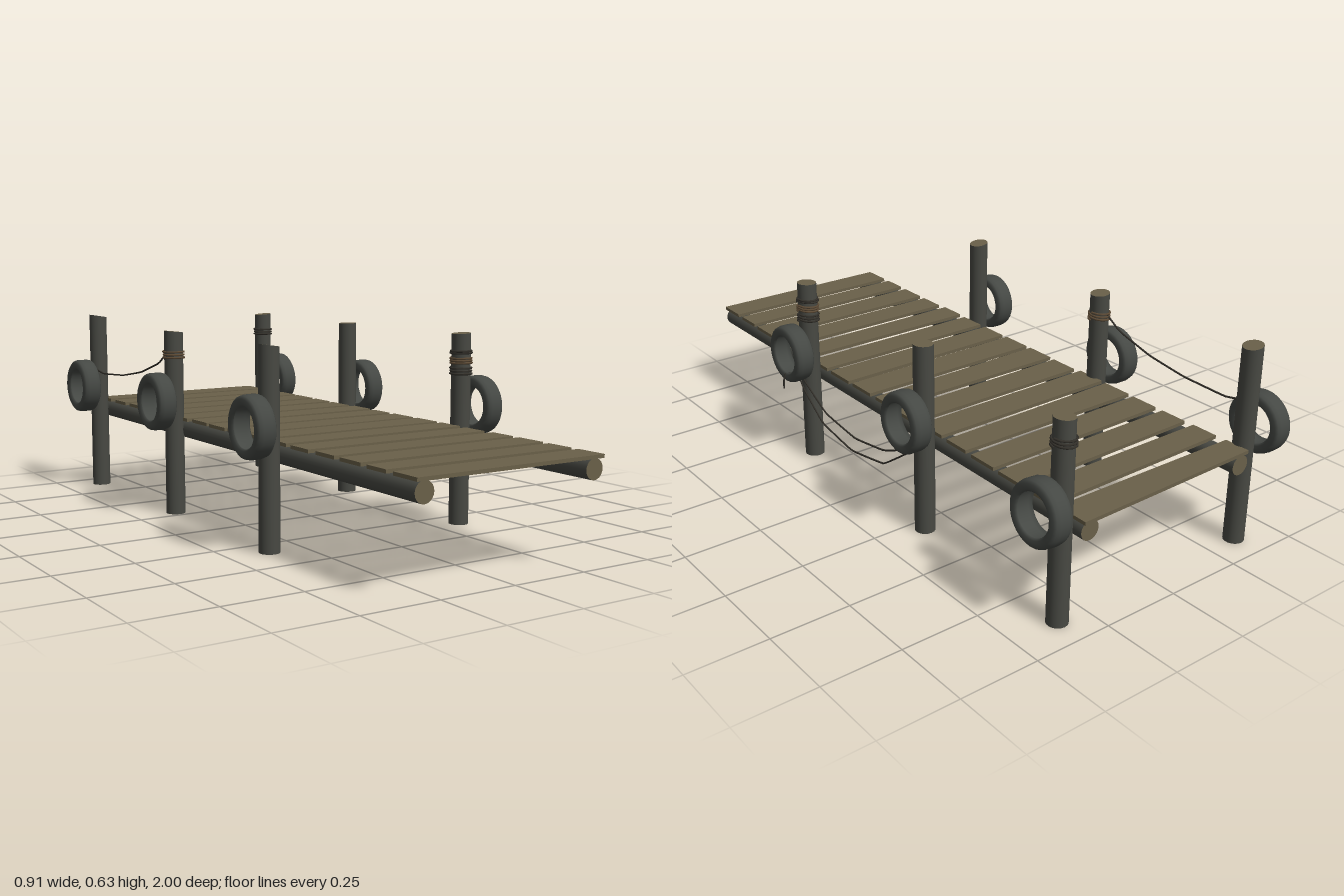
import * as THREE from 'three';

const mat = (name, color) => new THREE.MeshStandardMaterial({ name, color });

export function createModel() {
  const bark = mat('weathered bark', 0x484943);
  const wood = mat('cut wood', 0x6a6049);
  const rubber = mat('tyre rubber', 0x454844);
  const ropeDark = mat('dark rope', 0x33302a);
  const ropeBrown = mat('brown rope', 0x5c4a35);

  const dock = new THREE.Group();
  dock.name = 'dock';
  const add = (name, geometry, material, parent = dock) => {
    const mesh = new THREE.Mesh(geometry, material);
    mesh.name = name;
    parent.add(mesh);
    return mesh;
  };
  let seed = 7;
  const jitter = (amount) => {
    seed = (seed * 16807) % 2147483647;
    return (seed / 2147483647 - 0.5) * 2 * amount;
  };

  // Two long logs carry the deck
  for (const x of [-0.303, 0.283]) {
    const log = add('deckBeam', new THREE.CylinderGeometry(0.031, 0.031, 1.94, 20), [bark, wood, wood]);
    log.rotation.x = Math.PI / 2;
    log.position.set(x, 0.283, 0.025);
  }

  // Sixteen slightly irregular planks
  for (let i = 0; i < 16; i++) {
    const g = new THREE.BoxGeometry(0.645, 0.011, 0.1);
    const p = g.attributes.position;
    const taper = [jitter(0.006) - 0.002, jitter(0.006) - 0.002];
    const shift = i === 15 ? 0 : jitter(0.004);
    for (let v = 0; v < p.count; v++) {
      const side = p.getX(v) < 0 ? 0 : 1;
      p.setZ(v, p.getZ(v) + Math.sign(p.getZ(v)) * taper[side] * (i === 15 ? 0 : 1));
      p.setX(v, p.getX(v) + shift);
    }
    g.computeVertexNormals();
    add('plank', g, wood).position.set(-0.008, 0.318, -0.905 + i * 0.1237);
  }

  // Tyre: rounded hollow ring, axis along x
  const tyreProfile = [
    [0.062, -0.026], [0.068, -0.032], [0.084, -0.032], [0.092, -0.026], [0.095, -0.014],
    [0.095, 0.014], [0.092, 0.026], [0.084, 0.032], [0.068, 0.032], [0.062, 0.026],
    [0.069, 0.018], [0.069, -0.018], [0.062, -0.026],
  ].map(([r, y]) => new THREE.Vector2(r, y));
  const tyreGeometry = new THREE.LatheGeometry(tyreProfile, 28);
  tyreGeometry.rotateZ(-Math.PI / 2);

  const postRadius = 0.031;
  const tube = (name, points, radius, material) => add(
    name,
    new THREE.TubeGeometry(
      new THREE.CatmullRomCurve3(points.map((q) => new THREE.Vector3(...q)), false, 'catmullrom', 0.1),
      points.length * 5, radius, 6),
    material);

  // Wound rope around a post
  const coil = (x, z, y0, y1, turns, material) => {
    const points = [];
    for (let i = 0; i <= turns * 12; i++) {
      const a = (i / 12) * Math.PI * 2;
      const r = postRadius + 0.003 + 0.001 * Math.sin(a * 1.7);
      points.push([
        x + r * Math.cos(a),
        y0 + ((y1 - y0) * i) / (turns * 12) + 0.002 * Math.sin(a + 1),
        z + r * Math.sin(a),
      ]);
    }
    tube('ropeCoil', points, 0.0035, material);
  };

  // Posts: x, z, height, top slope, tyre x, tyre y, tyre z, tyre tilt
  const posts = [
    [-0.365, 0.345, 0.607, -0.15, -0.422, 0.375, 0.345, 0.02],
    [0.345, 0.343, 0.614, 0.05, 0.41, 0.382, 0.348, 0],
    [-0.352, -0.292, 0.608, -0.1, -0.415, 0.38, -0.295, 0],
    [0.345, -0.297, 0.612, 0.03, 0.408, 0.382, -0.295, 0.02],
    [-0.358, -0.905, 0.63, -0.16, -0.42, 0.375, -0.905, 0],
    [0.347, -0.902, 0.616, 0.08, 0.413, 0.36, -0.896, 0.07],
  ];
  for (const [x, z, h, slope, tx, ty, tz, tilt] of posts) {
    const g = new THREE.CylinderGeometry(postRadius, postRadius + 0.001, h, 18, 1);
    const p = g.attributes.position;
    for (let v = 0; v < p.count; v++) {
      if (p.getY(v) > 0) p.setY(v, p.getY(v) + slope * p.getX(v));
    }
    add('post', g, [bark, wood, wood]).position.set(x, h / 2, z);
    const tyre = add('tyreFender', tyreGeometry, rubber);
    tyre.position.set(tx, ty, tz);
    tyre.rotation.z = tilt;
  }

  coil(0.345, 0.343, 0.483, 0.51, 3, ropeDark);
  coil(0.345, 0.343, 0.518, 0.54, 3, ropeBrown);
  coil(0.345, 0.343, 0.55, 0.562, 2, ropeDark);
  coil(0.347, -0.902, 0.535, 0.562, 3, ropeDark);
  coil(-0.352, -0.292, 0.52, 0.548, 3, ropeBrown);

  // Slack ropes slung between posts
  tube('hangingRope', [
    [0.382, 0.3, 0.35], [0.38, 0.275, 0.32], [0.38, 0.21, 0.2], [0.379, 0.187, 0.03],
    [0.378, 0.21, -0.13], [0.378, 0.27, -0.27], [0.377, 0.3, -0.295],
  ], 0.003, ropeDark);
  tube('hangingRope', [
    [0.384, 0.28, 0.35], [0.383, 0.25, 0.33], [0.382, 0.168, 0.22], [0.381, 0.137, 0.05],
    [0.38, 0.165, -0.13], [0.38, 0.255, -0.26], [0.378, 0.29, -0.295],
  ], 0.003, ropeDark);
  tube('hangingRope', [
    [-0.36, 0.54, -0.32], [-0.37, 0.497, -0.37], [-0.374, 0.457, -0.5],
    [-0.379, 0.434, -0.64], [-0.384, 0.426, -0.8], [-0.387, 0.44, -0.88],
  ], 0.003, ropeDark);
  // Loose rope end by the front tyre
  tube('ropeEnd', [[0.405, 0.31, 0.345], [0.442, 0.315, 0.345], [0.447, 0.295, 0.346], [0.448, 0.265, 0.347]], 0.003, ropeDark);

  return dock;
}
